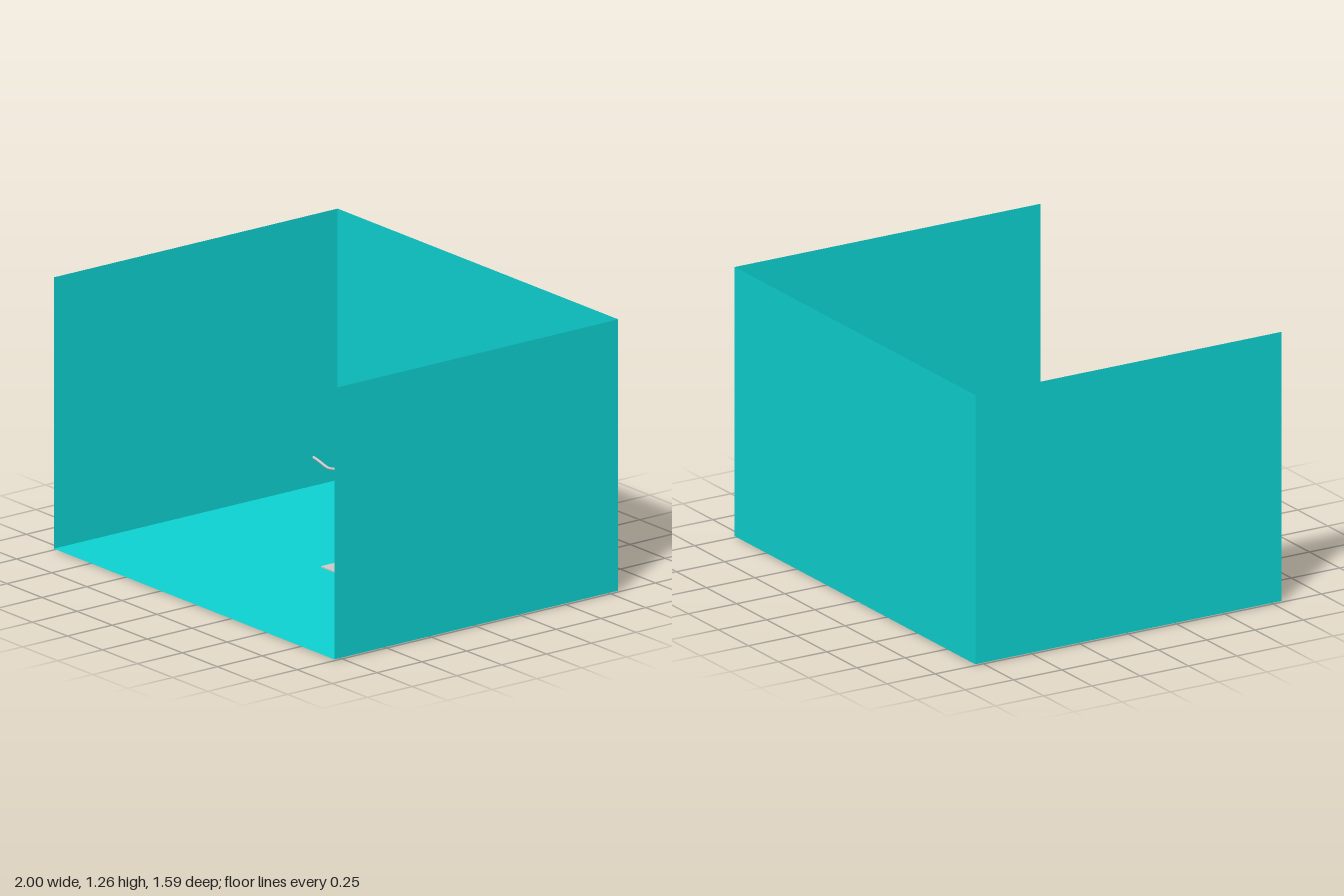
import * as THREE from 'three';

export function createModel() {
  const model = new THREE.Group();
  const grey = new THREE.MeshStandardMaterial({ color: 0xcccccc });
  const cyan = new THREE.MeshStandardMaterial({ color: 0x0ed2d2, side: THREE.DoubleSide });

  const add = (parent, name, geometry, material, x, y, z) => {
    const mesh = new THREE.Mesh(geometry, material);
    mesh.name = name;
    mesh.position.set(x, y, z);
    parent.add(mesh);
    return mesh;
  };

  // Open-fronted room: floor and three thin walls
  const W = 2, D = 1.585, floorY = 0.006, H = 1.26 - floorY;
  const room = new THREE.Group();
  room.name = 'room';
  add(room, 'floor', new THREE.PlaneGeometry(W, D).rotateX(-Math.PI / 2), cyan, 0, floorY, 0);
  add(room, 'backWall', new THREE.PlaneGeometry(W, H), cyan, 0, floorY + H / 2, -D / 2);
  for (const [name, s] of [['leftWall', 1], ['rightWall', -1]]) {
    const wall = new THREE.PlaneGeometry(D, H).rotateY(-s * Math.PI / 2);
    add(room, name, wall, cyan, s * W / 2, floorY + H / 2, 0);
  }
  model.add(room);

  // Stand: square foot plate, slim post, short mount under the bar
  const stand = new THREE.Group();
  stand.name = 'stand';
  stand.position.set(-0.005, 0, -0.029);
  add(stand, 'footPlate', new THREE.BoxGeometry(0.122, 0.012, 0.122), grey, 0, 0.006, 0);
  add(stand, 'post', new THREE.CylinderGeometry(0.011, 0.011, 0.44, 16), grey, 0, 0.23, 0);
  add(stand, 'barMount', new THREE.BoxGeometry(0.064, 0.008, 0.018), grey, 0, 0.452, 0);

  // Gently wavy bar across the top
  const path = new THREE.CatmullRomCurve3([
    [-0.193, 0.469], [-0.155, 0.462], [-0.09, 0.447], [-0.035, 0.453],
    [0.045, 0.452], [0.102, 0.440], [0.145, 0.452], [0.185, 0.456],
  ].map(([x, y]) => new THREE.Vector3(x, y, 0)));
  const bar = add(stand, 'wavyBar', new THREE.TubeGeometry(path, 40, 0.0065, 8), grey, 0, 0, 0);

  // Caps closing the bar ends
  for (const [t, sign] of [[0, -1], [1, 1]]) {
    const p = path.getPoint(t);
    const cap = add(stand, 'barEnd', new THREE.CircleGeometry(0.0065, 8), grey, p.x, p.y, p.z);
    cap.quaternion.setFromUnitVectors(new THREE.Vector3(0, 0, 1), path.getTangent(t).multiplyScalar(sign));
  }
  model.add(stand);
  return model;
}
